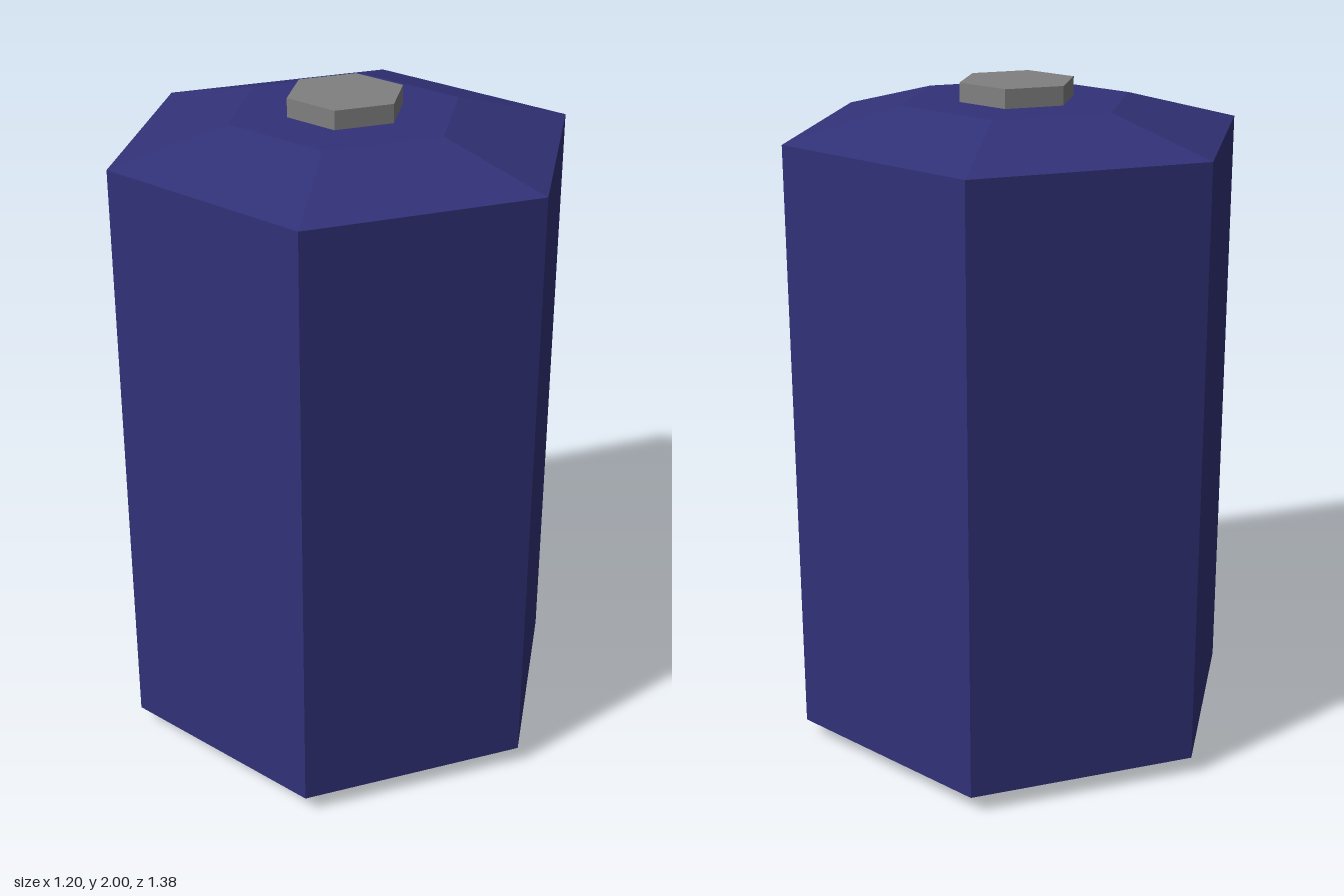
import * as THREE from 'three';

export function createModel() {
  const model = new THREE.Group();
  model.name = 'battery';

  const blue = new THREE.MeshStandardMaterial({ color: 0x313178 });
  blue.name = 'navy blue casing';
  const grey = new THREE.MeshStandardMaterial({ color: 0x808080 });
  grey.name = 'grey metal';

  // Flat-faced hexagonal frustum with corners on the z axis
  function hexPart(name, bottomRadius, topRadius, y0, y1, material, openEnded) {
    const smooth = new THREE.CylinderGeometry(topRadius, bottomRadius, y1 - y0, 6, 1, openEnded);
    const geometry = smooth.toNonIndexed();
    geometry.computeVertexNormals();
    geometry.translate(0, (y0 + y1) / 2, 0);
    const mesh = new THREE.Mesh(geometry, material);
    mesh.name = name;
    model.add(mesh);
  }

  // Casing: bevelled foot, straight wall, sloping shoulder
  hexPart('lowerBevel', 0.565, 0.69, 0, 0.055, blue, true);
  hexPart('casingWall', 0.69, 0.69, 0.055, 1.855, blue, true);
  hexPart('shoulder', 0.69, 0.345, 1.855, 1.945, blue, true);

  // Flat hexagonal end faces
  function hexFace(name, radius, y, up, material) {
    const geometry = new THREE.CircleGeometry(radius, 6, Math.PI / 2);
    geometry.rotateX(up ? -Math.PI / 2 : Math.PI / 2);
    geometry.translate(0, y, 0);
    const mesh = new THREE.Mesh(geometry, material);
    mesh.name = name;
    model.add(mesh);
  }
  hexFace('topFace', 0.345, 1.945, true, blue);
  hexFace('bottomContact', 0.565, 0, false, grey);

  // Raised terminal on top
  hexPart('topTerminal', 0.173, 0.173, 1.945, 2, grey, false);

  return model;
}
